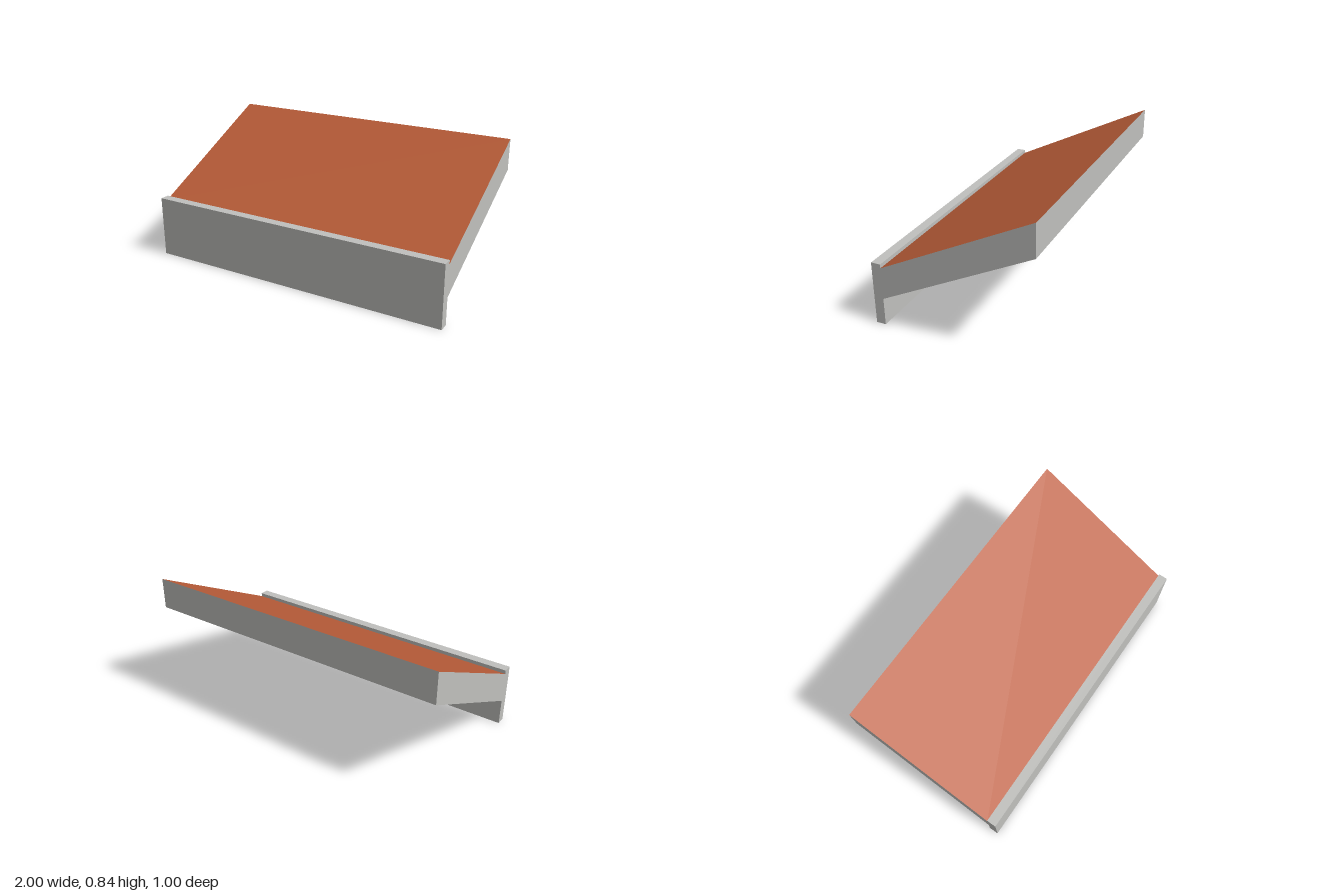
import * as THREE from 'three';

export function createModel() {
  const grey = new THREE.MeshStandardMaterial({ color: 0xc0c0bd });
  grey.name = 'light grey';
  const orange = new THREE.MeshStandardMaterial({ color: 0xb85c38 });
  orange.name = 'terracotta orange';

  const width = 2, slope = 0.5, thickness = 0.2;
  const boardDepth = 0.06, boardHeight = 0.396;
  const slabDepth = 1 - boardDepth;
  const model = new THREE.Group();
  model.name = 'roofEdge';

  // Upright board along the front edge
  const boardGeometry = new THREE.BoxGeometry(width, boardHeight, boardDepth);
  const board = new THREE.Mesh(boardGeometry, grey);
  board.name = 'fasciaBoard';
  board.position.set(0, boardHeight / 2, 0.5 - boardDepth / 2);
  model.add(board);

  // Roof slab: a box sheared upwards to the back, so its ends stay vertical
  const slabGeometry = new THREE.BoxGeometry(width, thickness, slabDepth);
  const p = slabGeometry.attributes.position;
  for (let i = 0; i < p.count; i++) p.setY(i, p.getY(i) - slope * p.getZ(i));
  slabGeometry.computeVertexNormals();

  // Only the upper face is coloured
  const slab = new THREE.Mesh(slabGeometry, [grey, grey, orange, grey, grey, grey]);
  slab.name = 'roofSlab';
  slab.position.set(0, 0.507, -boardDepth / 2);
  model.add(slab);

  return model;
}
